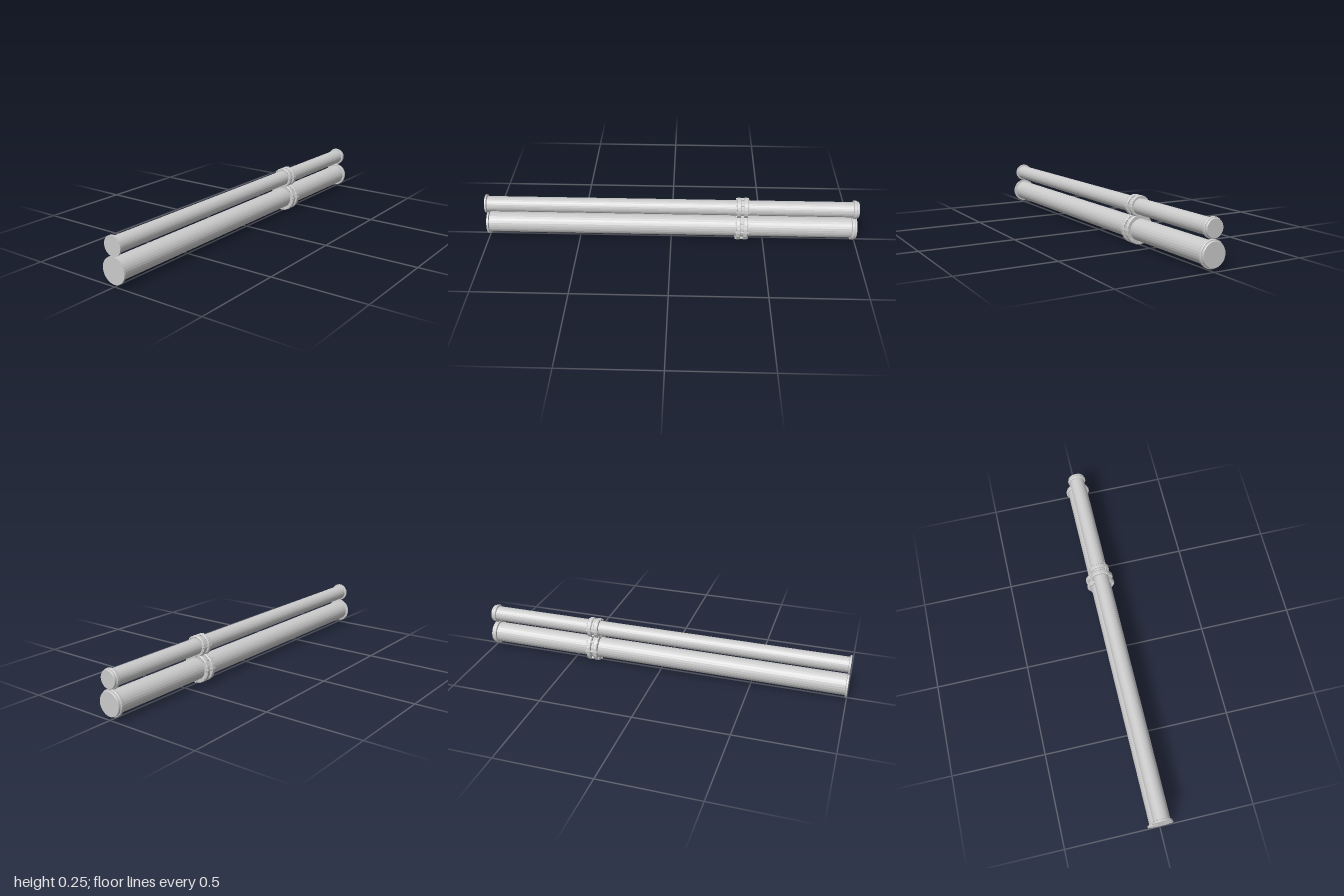
import * as THREE from 'three';

const material = new THREE.MeshStandardMaterial({ color: 0xcccccc, flatShading: true });

// Turns a [radius, z] profile, listed from back to front, around the z axis
function turned(name, profile, sides) {
  const geometry = new THREE.LatheGeometry(profile.map(([r, z]) => new THREE.Vector2(r, z)), sides);
  geometry.rotateX(Math.PI / 2);
  const mesh = new THREE.Mesh(geometry, material);
  mesh.name = name;
  return mesh;
}

// One pipe with end flanges and a bolted coupling; lip = end flange, rim = coupling radius
function pipe(name, y, radius, lip, rim) {
  const group = new THREE.Group();
  group.name = name;
  group.position.y = y;
  const neck = (radius + lip) / 2;

  // Tube with closed ends, stepped back flange and thin front flange
  group.add(turned(name + 'Tube', [
    [0, -1], [neck - 0.002, -1], [neck, -0.997], [neck, -0.988],
    [lip - 0.002, -0.988], [lip, -0.985], [lip, -0.975], [lip - 0.002, -0.972],
    [radius, -0.972], [radius, 0.989], [lip, 0.991], [lip, 1], [0, 1],
  ], 28));

  // Paired coupling rings
  for (const [side, z] of [['front', -0.363], ['back', -0.401]]) {
    const ring = turned(side + 'CouplingRing', [
      [radius - 0.002, -0.011], [rim - 0.003, -0.011], [rim, -0.008],
      [rim, 0.008], [rim - 0.003, 0.011], [radius - 0.002, 0.011],
    ], 20);
    ring.position.z = z;
    group.add(ring);
  }

  // Gasket between the rings
  group.add(turned('gasket', [[radius + 0.004, -0.392], [radius + 0.004, -0.372]], 20));

  // Bolts through both rings, with hexagonal heads at each end
  const boltCircle = (radius + rim) / 2 + 0.001;
  const head = (rim - radius) * 0.36;
  for (let i = 0; i < 8; i++) {
    const angle = (i * Math.PI) / 4;
    const bolt = new THREE.Group();
    bolt.name = 'bolt';
    bolt.position.set(boltCircle * Math.cos(angle), boltCircle * Math.sin(angle), -0.382);
    const shank = new THREE.Mesh(new THREE.CylinderGeometry(head * 0.8, head * 0.8, 0.05, 8), material);
    shank.name = 'boltShank';
    shank.rotation.x = Math.PI / 2;
    bolt.add(shank);
    for (const z of [-0.032, 0.032]) {
      const cap = new THREE.Mesh(new THREE.CylinderGeometry(head, head, 0.006, 6), material);
      cap.name = 'boltHead';
      cap.rotation.x = Math.PI / 2;
      cap.position.z = z;
      bolt.add(cap);
    }
    group.add(bolt);
  }
  return group;
}

export function createModel() {
  const model = new THREE.Group();
  model.name = 'pipePair';
  model.add(pipe('lowerPipe', 0.077, 0.056, 0.067, 0.077));
  model.add(pipe('upperPipe', 0.194, 0.041, 0.05, 0.055));
  return model;
}
